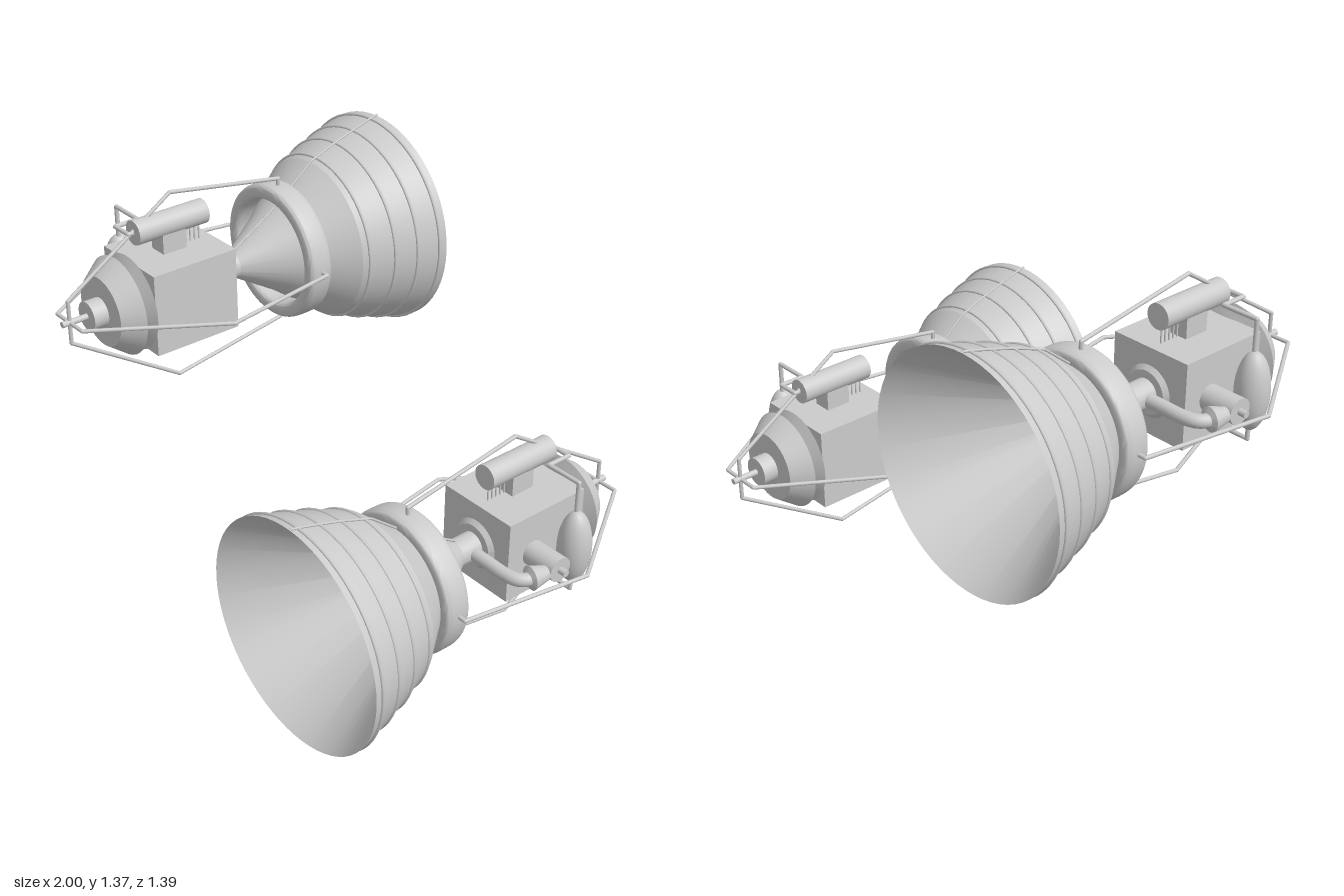
import * as THREE from 'three';
import { toCreasedNormals } from 'three/addons/utils/BufferGeometryUtils.js';

const grey = new THREE.MeshStandardMaterial({ color: 0xcccccc, side: THREE.DoubleSide });

function add(parent, name, geometry, x = 0, y = 0, z = 0) {
  const mesh = new THREE.Mesh(geometry, grey);
  mesh.name = name;
  mesh.position.set(x, y, z);
  parent.add(mesh);
  return mesh;
}

// Surface of revolution about z, from [radius, z] pairs in order of rising z
function lathe(points, crease = 0.25, sides = 64) {
  const g = new THREE.LatheGeometry(points.map(([r, z]) => new THREE.Vector2(r, z)), sides);
  return toCreasedNormals(g.rotateX(Math.PI / 2), crease);
}

// Straight-sided pipe through corner points
function pipe(parent, name, points, radius) {
  const path = new THREE.CurvePath();
  const v = points.map((p) => new THREE.Vector3(...p));
  const group = new THREE.Group();
  group.name = name;
  for (let i = 0; i < v.length - 1; i++) {
    const line = new THREE.LineCurve3(v[i], v[i + 1]);
    path.add(line);
    add(group, name + 'Segment', new THREE.TubeGeometry(line, 1, radius, 10));
    if (i > 0) add(group, name + 'Joint', new THREE.SphereGeometry(radius, 10, 8), ...points[i]);
  }
  parent.add(group);
}

// One engine: nozzle opens to +z, axis through the origin
function createEngine() {
  const engine = new THREE.Group();

  // Nozzle bell, its conical inside and the stiffening hoops
  const bell = [[0.048, 0.01], [0.145, 0.17], [0.215, 0.265], [0.295, 0.365], [0.338, 0.48],
    [0.364, 0.563], [0.388, 0.645], [0.394, 0.674]];
  add(engine, 'nozzleBell', lathe(bell));
  add(engine, 'nozzleInside', lathe([[0, 0.1], [0.035, 0.1], [0.394, 0.674]]));
  for (const [r, z] of [[0.305, 0.39], [0.338, 0.48], [0.364, 0.563], [0.389, 0.645]]) {
    add(engine, 'nozzleHoop', new THREE.TorusGeometry(r, 0.006, 8, 64), 0, 0, z);
  }
  pipe(engine, 'nozzleFeedLine', bell.map(([r, z]) => [0, r + 0.005, z]), 0.004);

  // Rounded collar ring around the bell
  const ring = [];
  for (let i = 0; i <= 24; i++) {
    const a = (i / 24) * Math.PI * 2, c = Math.cos(a), s = Math.sin(a);
    ring.push([0.222 + 0.028 * Math.sign(c) * Math.sqrt(Math.abs(c)),
      0.217 + 0.047 * Math.sign(s) * Math.sqrt(Math.abs(s))]);
  }
  add(engine, 'collarRing', lathe(ring, 0.9));

  // Neck and engine block
  add(engine, 'neck', lathe([[0.09, -0.085], [0.075, -0.07], [0.048, -0.07], [0.048, 0.012]]));
  add(engine, 'engineBlock', new THREE.BoxGeometry(0.305, 0.3, 0.335), 0, 0, -0.252);

  // Waisted drum, hub and mounting rod behind the block
  add(engine, 'rearDrum', lathe([[0, -0.541], [0.125, -0.541], [0.177, -0.47], [0.125, -0.448],
    [0.172, -0.425], [0.15, -0.415]]));
  add(engine, 'rearHub', lathe([[0, -0.596], [0.052, -0.596], [0.052, -0.53]], 0.25, 32));
  add(engine, 'mountingRod', lathe([[0, -0.693], [0.011, -0.693], [0.011, -0.58]], 0.25, 16));

  // Canister on top, with pedestal and thin feed tubes
  const canister = add(engine, 'topCanister', new THREE.CylinderGeometry(0.044, 0.044, 0.283, 32), 0, 0.247, -0.252);
  canister.rotation.x = Math.PI / 2;
  add(engine, 'canisterPedestal', new THREE.BoxGeometry(0.07, 0.08, 0.093), 0, 0.18, -0.253);
  for (let i = 0; i < 5; i++) {
    add(engine, 'feedTube', new THREE.CylinderGeometry(0.003, 0.003, 0.09, 8), 0, 0.185, -0.13 - i * 0.018);
  }

  // Side tank and its pipes
  add(engine, 'sideTank', new THREE.SphereGeometry(1, 32, 24), 0.218, 0.003, -0.32).scale.set(0.058, 0.137, 0.058);
  pipe(engine, 'tankUpperPipe', [[0.213, 0.12, -0.322], [0.213, 0.247, -0.322], [0.08, 0.247, -0.322],
    [0.08, 0.247, -0.412], [0, 0.247, -0.412], [0, 0.247, -0.38]], 0.008);
  pipe(engine, 'tankLowerPipe', [[0.213, -0.12, -0.322], [0.213, -0.172, -0.322],
    [0.06, -0.172, -0.322], [0.06, -0.14, -0.322]], 0.008);

  // Side turbine with end pin
  const turbine = add(engine, 'sideTurbine', new THREE.CylinderGeometry(0.044, 0.044, 0.135, 32), 0.21, 0, -0.195);
  const pin = add(engine, 'turbinePin', new THREE.CylinderGeometry(0.012, 0.012, 0.04, 16), 0.284, 0, -0.195);
  turbine.rotation.z = pin.rotation.z = Math.PI / 2;

  // Exhaust elbow from the neck to the turbine, ending in a flare
  const elbow = new THREE.CatmullRomCurve3([[0.02, -0.042], [0.1, -0.042], [0.18, -0.042],
    [0.225, -0.053], [0.245, -0.075], [0.251, -0.1]].map(([x, z]) => new THREE.Vector3(x, 0, z)));
  add(engine, 'exhaustElbow', new THREE.TubeGeometry(elbow, 32, 0.023, 20));
  const flare = add(engine, 'exhaustFlare',
    lathe([[0, -0.035], [0.025, -0.035], [0.042, 0.025], [0.022, 0.035]], 0.25, 32), 0.252, 0, -0.115);
  flare.rotation.y = -0.2;

  // Protective cage: two crossed frames around the block
  const half = [[0.24, 0.217], [0.275, 0.217], [0.352, -0.24], [0.079, -0.663]];
  const frame = [...half, ...half.map(([r, z]) => [-r, z]).reverse()];
  pipe(engine, 'cageUprightFrame', frame.map(([r, z]) => [0, r, z]), 0.007);
  pipe(engine, 'cageLevelFrame', frame.map(([r, z]) => [r, 0, z]), 0.007);
  return engine;
}

export function createModel() {
  const model = new THREE.Group();
  model.name = 'enginePair';
  const lower = createEngine();
  lower.name = 'lowerEngine';
  lower.position.set(0.604, 0.398, 0);
  const upper = createEngine();
  upper.name = 'upperEngine';
  upper.position.set(-0.604, 0.966, 0);
  upper.rotation.y = Math.PI;
  model.add(lower, upper);
  return model;
}
